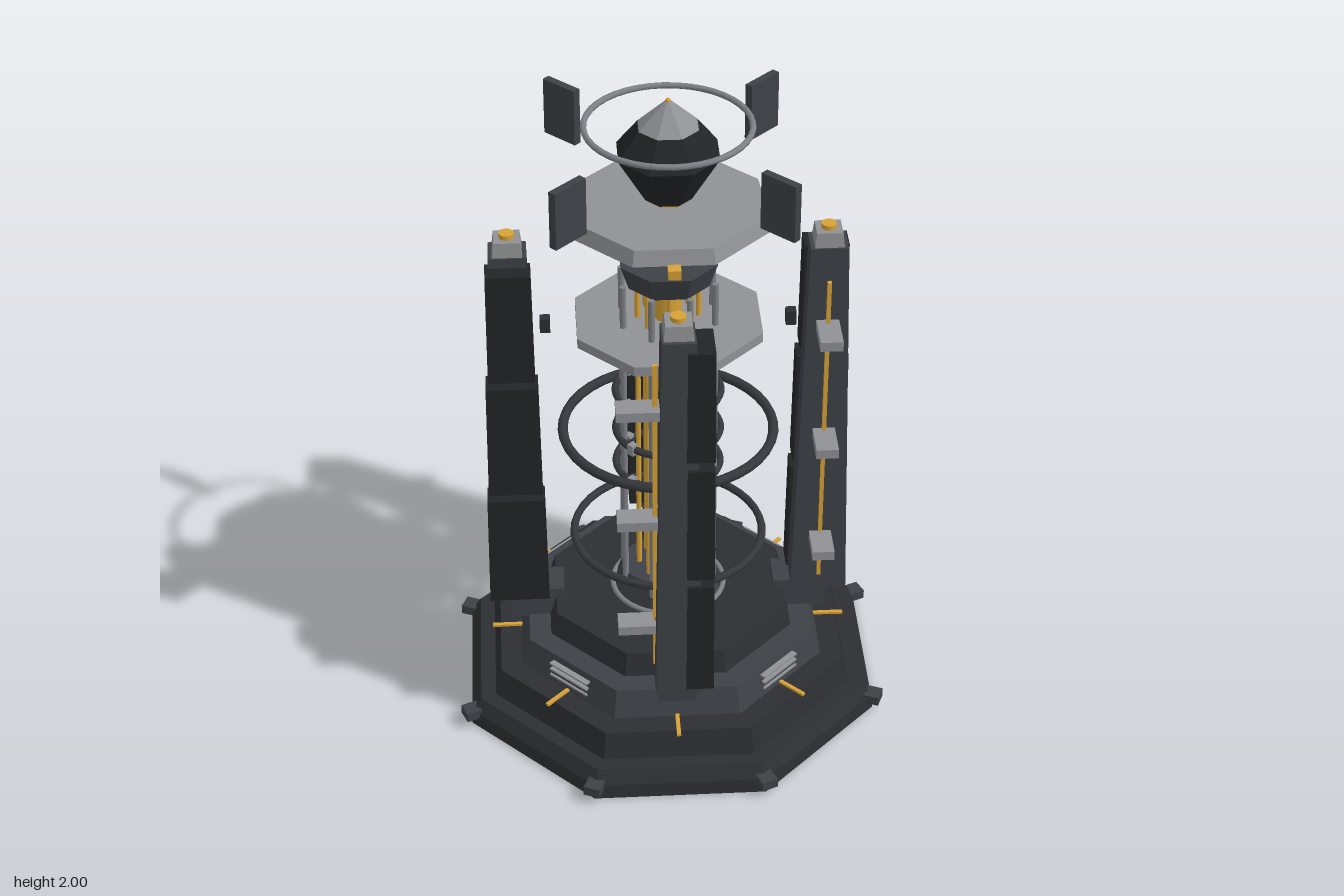
import * as THREE from 'three';

const mat = (color) => new THREE.MeshStandardMaterial({ color, flatShading: true });
const smooth = (color) => new THREE.MeshStandardMaterial({ color });
const BLACK = mat(0x222427), DARK = mat(0x2c2e32), MID = mat(0x3d4146), GREY = mat(0x8f9194);
const GOLD = mat(0xd6a236), GOLD_S = smooth(0xd6a236), STEEL = smooth(0x7d8186), RING = smooth(0x34373b);
const OCT = 1 / Math.cos(Math.PI / 8);

function add(parent, name, geo, material, x = 0, y = 0, z = 0) {
  const m = new THREE.Mesh(geo, material);
  m.name = name;
  m.position.set(x, y, z);
  parent.add(m);
  return m;
}

// Octagonal frustum with flats on the axes; sizes are half-widths across flats
function octagon(parent, name, bottom, top, y0, y1, material) {
  const geo = new THREE.CylinderGeometry(top * OCT, bottom * OCT, y1 - y0, 8);
  geo.rotateY(Math.PI / 8);
  return add(parent, name, geo, material, 0, (y0 + y1) / 2, 0);
}

const box = (w, h, d) => new THREE.BoxGeometry(w, h, d);

// Box whose top is scaled in x and z
function taperBox(w, h, d, sx, sz) {
  const geo = box(w, h, d), p = geo.attributes.position;
  for (let i = 0; i < p.count; i++) {
    if (p.getY(i) > 0) p.setXYZ(i, p.getX(i) * sx, p.getY(i), p.getZ(i) * sz);
  }
  geo.computeVertexNormals();
  return geo;
}

function ring(parent, name, radius, tube, y, material) {
  const geo = new THREE.TorusGeometry(radius, tube, 8, 40);
  geo.rotateX(Math.PI / 2);
  return add(parent, name, geo, material, 0, y, 0);
}

// Calls build on a new group turned about y, local +z pointing outward
function around(parent, name, count, offset, build) {
  for (let i = 0; i < count; i++) {
    const g = new THREE.Group();
    g.name = name;
    g.rotation.y = offset + (i * Math.PI * 2) / count;
    parent.add(g);
    build(g);
  }
}

function buildBase(root) {
  octagon(root, 'baseFoot', 0.615, 0.61, 0, 0.045, DARK);
  octagon(root, 'baseFootBevel', 0.61, 0.585, 0.045, 0.085, DARK);
  octagon(root, 'baseLowerTier', 0.54, 0.52, 0.085, 0.17, DARK);
  octagon(root, 'baseMiddleTier', 0.455, 0.43, 0.17, 0.255, MID);
  octagon(root, 'baseUpperTier', 0.365, 0.345, 0.255, 0.325, DARK);
  around(root, 'cornerClamp', 8, Math.PI / 8, (g) => {
    add(g, 'cornerClampBlock', box(0.05, 0.03, 0.05), MID, 0, 0.045, 0.665);
  });
  around(root, 'baseInlay', 8, 0, (g) => {
    add(g, 'goldInlay', box(0.012, 0.008, 0.1), GOLD, 0, 0.173, 0.495);
  });
  // Vent slats on the four main faces
  around(root, 'vent', 4, 0, (g) => {
    for (const y of [0.192, 0.213, 0.234]) {
      add(g, 'ventSlat', box(0.15, 0.006, 0.02), GREY, 0, y, 0.444);
    }
  });
}

function buildPillar(g) {
  const r = 0.456;
  add(g, 'pillarFoot', box(0.11, 0.1, 0.16), MID, 0, 0.3, 0.4);
  add(g, 'pillarBody', taperBox(0.135, 1.2, 0.17, 0.7, 0.64), MID, 0, 0.93, r);
  add(g, 'pillarCap', taperBox(0.085, 0.045, 0.085, 0.88, 0.88), GREY, 0, 1.552, r);
  add(g, 'pillarLamp', new THREE.CylinderGeometry(0.022, 0.022, 0.015, 16), GOLD_S, 0, 1.581, r);
  // Three stacked armour plates on one flank
  [[0.35, 0.72, 0.18], [0.745, 1.12, 0.16], [1.145, 1.5, 0.136]].forEach(([y0, y1, d]) => {
    add(g, 'armourPlate', taperBox(0.08, y1 - y0, d, 0.95, 0.95), BLACK, 0.061, (y0 + y1) / 2, r);
  });
  // Gold strip and clamps on the other flank
  add(g, 'goldStrip', box(0.014, 1.05, 0.012), GOLD, -0.064, 0.905, r);
  [0.53, 0.905, 1.28].forEach((y) => {
    add(g, 'sideClamp', box(0.125, 0.03, 0.066), GREY, -0.11, y, r);
  });
  add(g, 'innerNode', box(0.03, 0.045, 0.03), DARK, 0, 1.28, 0.355);
}

function buildCore(root) {
  const core = new THREE.Group();
  core.name = 'core';
  root.add(core);
  octagon(core, 'lowerCollar', 0.155, 0.13, 0.325, 0.405, MID);
  octagon(core, 'upperCollar', 0.115, 0.138, 1.42, 1.495, MID);
  add(core, 'coreColumn', new THREE.CylinderGeometry(0.04, 0.04, 1.04, 16), GOLD_S, 0, 0.91, 0);
  around(core, 'innerRod', 8, 0, (g) => {
    add(g, 'goldRod', new THREE.CylinderGeometry(0.008, 0.008, 1.04, 8), GOLD_S, 0, 0.91, 0.088);
  });
  around(core, 'outerRod', 8, Math.PI / 8, (g) => {
    add(g, 'steelRod', new THREE.CylinderGeometry(0.01, 0.01, 1.09, 8), STEEL, 0, 0.885, 0.143);
  });
  ring(core, 'collarRing', 0.17, 0.008, 0.33, STEEL);
  for (const y of [0.785, 0.905, 1.04]) {
    ring(core, 'coreRing', 0.155, 0.011, y, RING);
    around(core, 'ringNode', 4, 0, (g) => {
      add(g, 'ringNodeBlock', box(0.022, 0.034, 0.022), GREY, 0, y, 0.157);
    });
  }
  ring(core, 'largeRing', 0.312, 0.015, 0.905, RING);
  ring(core, 'lowerRing', 0.285, 0.012, 0.525, RING);
  octagon(core, 'middlePlate', 0.265, 0.265, 1.265, 1.295, GREY);
}

function buildCrown(root) {
  const crown = new THREE.Group();
  crown.name = 'crown';
  root.add(crown);
  octagon(crown, 'crownPlate', 0.275, 0.262, 1.63, 1.675, GREY);
  around(crown, 'plateLamp', 4, Math.PI / 4, (g) => {
    add(g, 'plateLampBlock', box(0.036, 0.028, 0.036), GOLD, 0, 1.621, 0.293);
  });
  // Faceted crystal with its pale tip
  octagon(crown, 'crystalSeat', 0.055, 0.055, 1.686, 1.697, GOLD);
  octagon(crown, 'crystalLower', 0.065, 0.141, 1.695, 1.835, BLACK);
  octagon(crown, 'crystalUpper', 0.141, 0.083, 1.835, 1.915, BLACK);
  octagon(crown, 'crystalTip', 0.083, 0.004, 1.915, 1.995, GREY);
  add(crown, 'tipBead', new THREE.SphereGeometry(0.008, 10, 8), GOLD_S, 0, 1.992, 0);
  ring(crown, 'halo', 0.234, 0.009, 1.915, STEEL);
  // Floating radial fins
  around(crown, 'fin', 4, 0, (g) => {
    add(g, 'finPanel', box(0.024, 0.172, 0.12), MID, 0, 1.815, 0.405);
  });
}

export function createModel() {
  const root = new THREE.Group();
  root.name = 'tower';
  buildBase(root);
  around(root, 'pillar', 4, Math.PI / 4, buildPillar);
  buildCore(root);
  buildCrown(root);
  return root;
}
